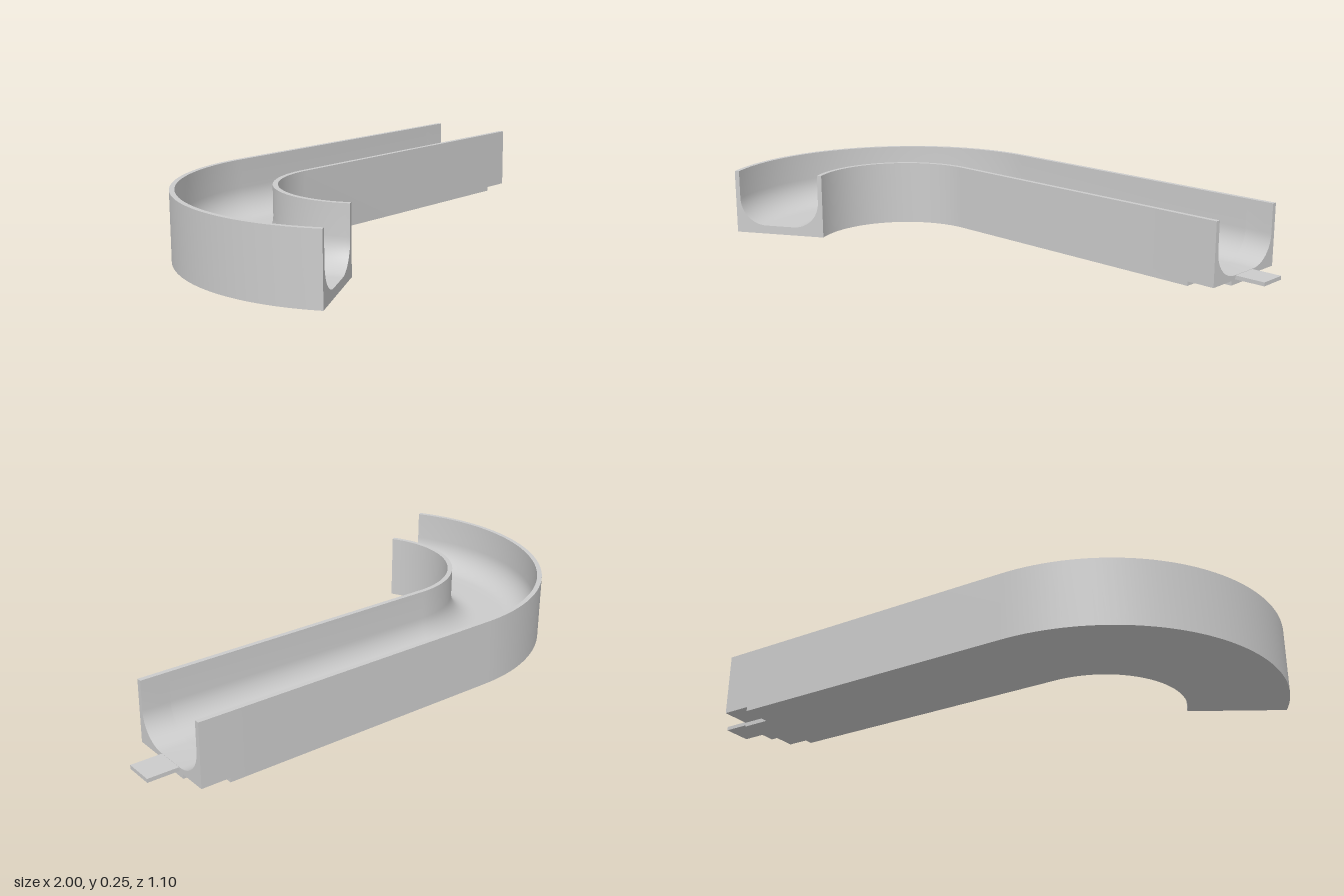
import * as THREE from 'three';
import { toCreasedNormals } from 'three/addons/utils/BufferGeometryUtils.js';

const CX = -0.308, CZ = 0.183;       // centre of the bend
const R_IN = 0.326, R_OUT = 0.692;   // side faces of the channel
const HEIGHT = 0.248, FLOOR = 0.033, WALL = 0.018, FILLET = 0.106;
const START = THREE.MathUtils.degToRad(92), SWEEP = THREE.MathUtils.degToRad(120);
const LENGTH = 1.21, RECESS_AT = 1.104, TAB_END = 1.325;

// A station along the track: distance along the straight run, or angle round the bend
const straight = (l) => ({ a: START, l });
const bend = (t) => ({ a: START + SWEEP * t, l: 0 });

// Places a profile point (radius from bend centre, height) at a station
function place([r, y], { a, l }) {
  return [
    CX + r * Math.cos(a) + l * Math.sin(START),
    y,
    CZ - r * Math.sin(a) + l * Math.cos(START),
  ];
}

// Sweeps a counter-clockwise profile through the stations, with optional end caps
function sweep(profile, stations, capStart = true, capEnd = true) {
  const pos = [];
  const n = profile.length;
  const rings = stations.map((s) => profile.map((p) => place(p, s)));
  for (let i = 0; i + 1 < rings.length; i++) {
    for (let j = 0; j < n; j++) {
      const k = (j + 1) % n;
      const p0 = rings[i][j], q0 = rings[i][k], p1 = rings[i + 1][j], q1 = rings[i + 1][k];
      pos.push(...p0, ...p1, ...q0, ...q0, ...p1, ...q1);
    }
  }
  const faces = THREE.ShapeUtils.triangulateShape(profile.map((p) => new THREE.Vector2(...p)), []);
  const last = rings[rings.length - 1];
  for (const [a, b, c] of faces) {
    if (capStart) pos.push(...rings[0][a], ...rings[0][b], ...rings[0][c]);
    if (capEnd) pos.push(...last[a], ...last[c], ...last[b]);
  }
  const geometry = new THREE.BufferGeometry();
  geometry.setAttribute('position', new THREE.Float32BufferAttribute(pos, 3));
  return toCreasedNormals(geometry, Math.PI / 6);
}

// U-shaped section: the given underside, then the rounded trough
function channelProfile(underside) {
  const pts = [...underside, [R_OUT, HEIGHT], [R_OUT - WALL, HEIGHT]];
  const steps = 12;
  for (const side of [1, -1]) {
    const cr = side > 0 ? R_OUT - WALL - FILLET : R_IN + WALL + FILLET;
    for (let i = 0; i <= steps; i++) {
      const t = (side > 0 ? i : steps - i) / steps * Math.PI / 2;
      pts.push([cr + side * FILLET * Math.cos(t), FLOOR + FILLET * (1 - Math.sin(t))]);
    }
  }
  pts.push([R_IN + WALL, HEIGHT], [R_IN, HEIGHT]);
  return pts;
}

export function createModel() {
  const group = new THREE.Group();
  group.name = 'curvedTrack';
  const material = new THREE.MeshStandardMaterial({ color: 0xcccccc });
  const add = (name, geometry) => {
    const mesh = new THREE.Mesh(geometry, material);
    mesh.name = name;
    group.add(mesh);
  };

  // Main channel: straight run, then the bend
  const stations = [straight(RECESS_AT)];
  for (let i = 0; i <= 48; i++) stations.push(bend(i / 48));
  add('channel', sweep(channelProfile([[R_IN, 0], [R_OUT, 0]]), stations));

  // Joint end: underside recessed on both sides of a central rib
  const mid = (R_IN + R_OUT) / 2, rib = 0.075, step = 0.016;
  const notched = [
    [R_IN, step], [mid - rib, step], [mid - rib, 0],
    [mid + rib, 0], [mid + rib, step], [R_OUT, step],
  ];
  add('jointEnd', sweep(channelProfile(notched), [straight(LENGTH), straight(RECESS_AT)], true, false));

  // Connecting tongue
  const w = 0.053;
  const tongue = [[mid - w, 0.018], [mid + w, 0.018], [mid + w, 0.032], [mid - w, 0.032]];
  add('connectorTongue', sweep(tongue, [straight(TAB_END), straight(LENGTH - 0.03)]));

  return group;
}
